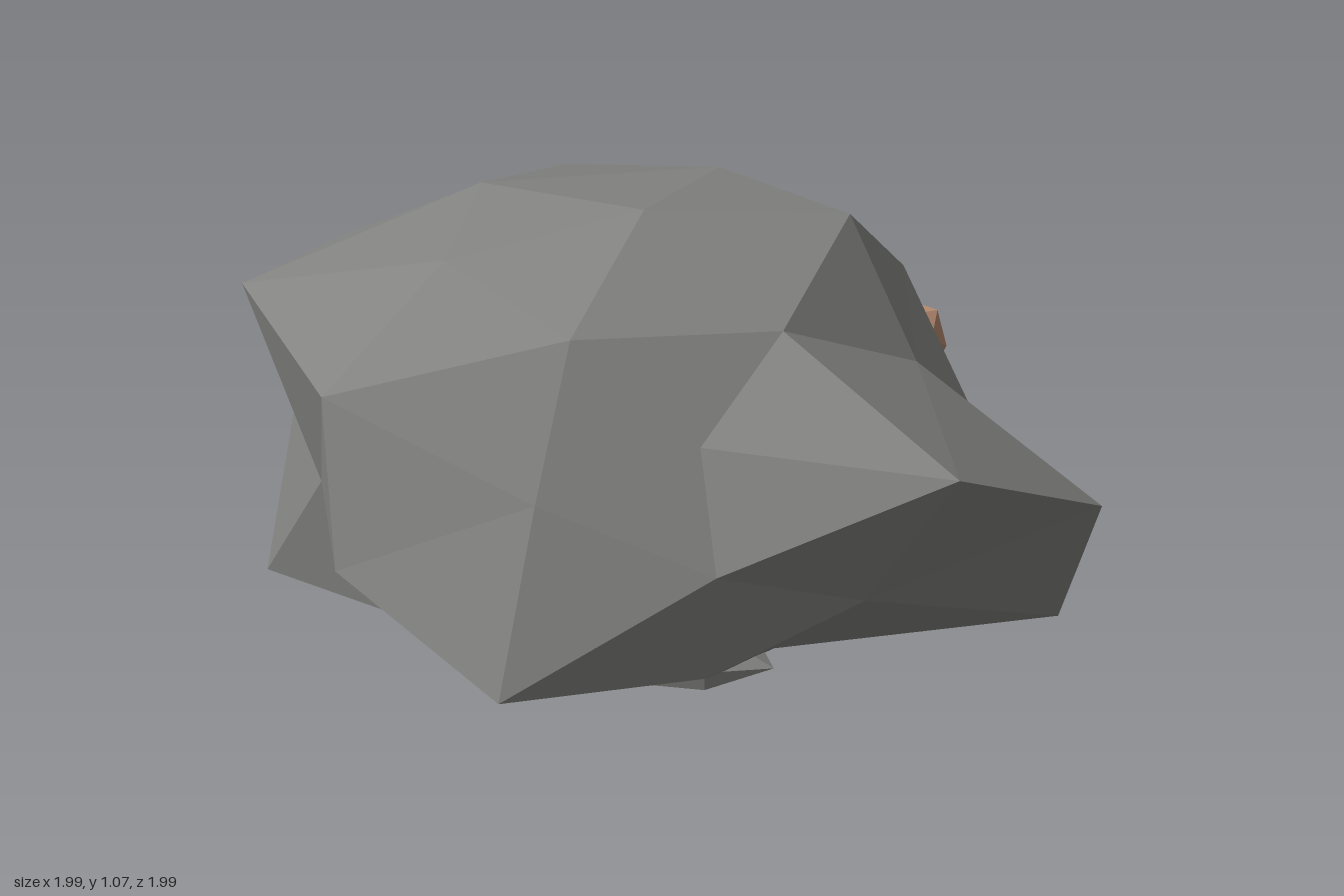
import * as THREE from 'three';

// Radius of each boulder corner, per family of directions.
// Order inside a family: signs of the non-zero axes, + before -, x first.
const FAMILIES = [
  { dir: [1, 0, 0], r: [0.85, 0.83] },
  { dir: [0, 1, 0], r: [0.957, 0.9] },
  { dir: [0, 0, 1], r: [0.85, 1.18] },
  { dir: [0.526, 0.851, 0], r: [1.008, 1.0, 0.98, 0.96] },
  { dir: [0, 0.526, 0.851], r: [0.78, 1.09, 0.88, 1.18] },
  { dir: [0.851, 0, 0.526], r: [1.22, 0.955, 1.08, 0.93] },
  { dir: [0.309, 0.809, 0.5], r: [0.855, 0.97, 0.8, 1.2, 0.955, 1.0, 0.9, 1.18] },
  { dir: [0.5, 0.309, 0.809], r: [1.2, 1.0, 0.84, 1.12, 0.87, 1.165, 1.16, 0.935] },
  { dir: [0.809, 0.5, 0.309], r: [0.8, 0.9, 1.215, 1.2, 1.12, 1.18, 0.83, 1.105] },
];

function cornerRadius(v) {
  const c = v.toArray();
  const family = FAMILIES.find(({ dir }) => dir.every((d, i) => Math.abs(Math.abs(c[i]) - d) < 0.02));
  let index = 0;
  for (const value of c) {
    if (Math.abs(value) > 0.02) index = index * 2 + (value < 0 ? 1 : 0);
  }
  return family.r[index];
}

// Faceted ball pushed in and out, squashed, and cut flat on the ground
function boulderGeometry() {
  const geometry = new THREE.IcosahedronGeometry(1, 1);
  const pos = geometry.attributes.position;
  const v = new THREE.Vector3();
  for (let i = 0; i < pos.count; i++) {
    v.fromBufferAttribute(pos, i);
    const r = cornerRadius(v);
    pos.setXYZ(i, -0.04 + v.x * r, Math.max(0, 0.41 + v.y * r * 0.69), 0.1 + v.z * r * 0.925);
  }
  geometry.computeVertexNormals();
  return geometry;
}

export function createModel() {
  const group = new THREE.Group();
  group.name = 'oreBoulder';

  const stone = new THREE.MeshStandardMaterial({ color: 0x848482, flatShading: true });
  stone.name = 'grey stone';
  const copper = new THREE.MeshStandardMaterial({ color: 0xb48a70, flatShading: true });
  copper.name = 'copper ore';

  const boulder = new THREE.Mesh(boulderGeometry(), stone);
  boulder.name = 'boulder';
  group.add(boulder);

  const addChunk = (name, material, position, size, rotation) => {
    const chunk = new THREE.Mesh(new THREE.IcosahedronGeometry(1, 0), material);
    chunk.name = name;
    chunk.position.set(...position);
    chunk.scale.set(...size);
    chunk.rotation.set(...rotation);
    group.add(chunk);
  };

  // Ore nuggets set into the back right side
  addChunk('largeNugget', copper, [0.59, 0.51, -0.495], [0.12, 0.175, 0.105], [0.5, 0.3, 0]);
  addChunk('sideNugget', copper, [0.765, 0.48, -0.225], [0.05, 0.125, 0.065], [0.45, 0, 0.1]);
  addChunk('smallNugget', copper, [0.535, 0.395, -0.61], [0.07, 0.075, 0.045], [0.3, 0.3, 0]);

  // Flat rubble under the front overhang
  addChunk('rubble', stone, [-0.03, 0.045, 0.62], [0.22, 0.045, 0.11], [0, 0, 0]);

  return group;
}
